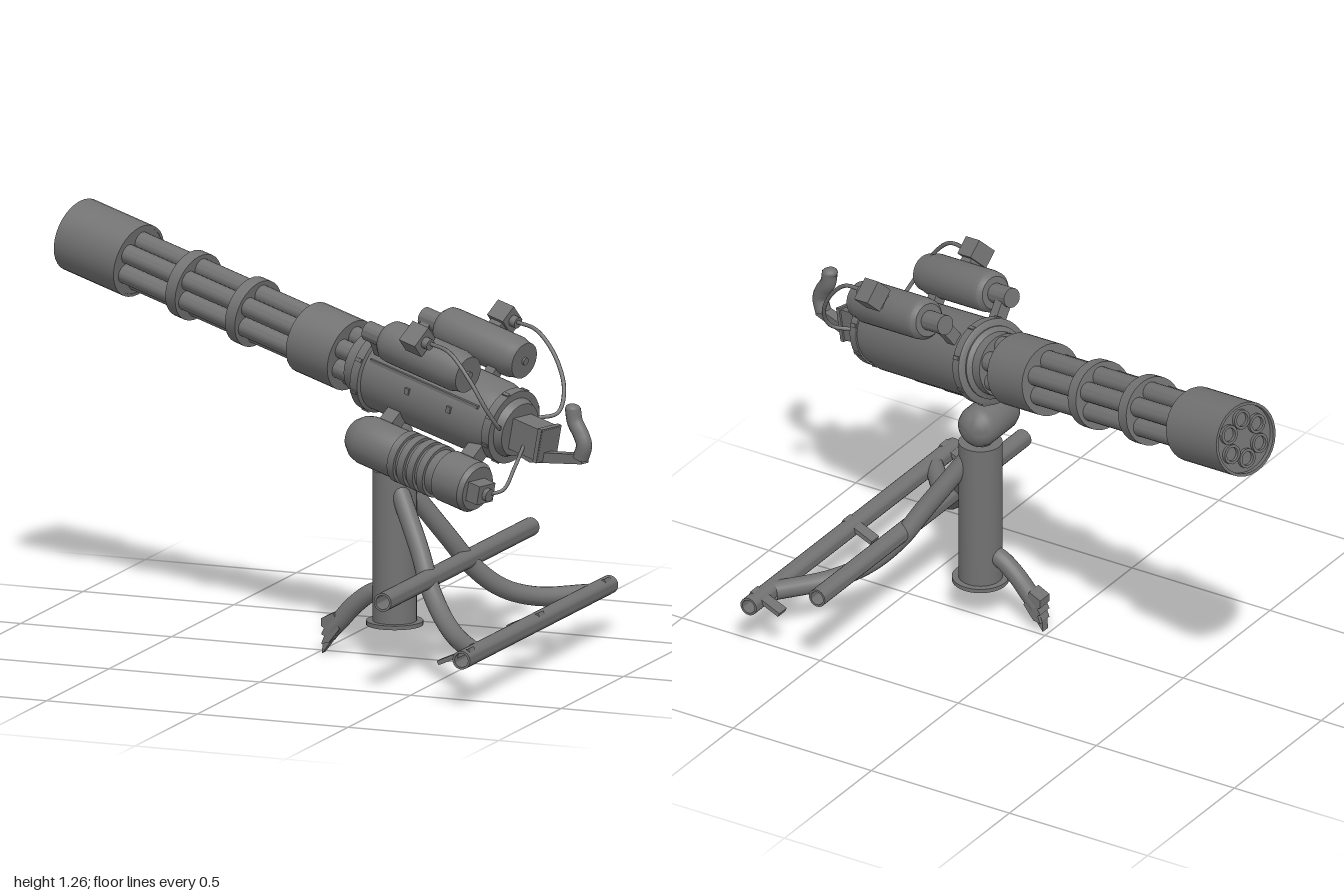
import * as THREE from 'three';
import { toCreasedNormals } from 'three/addons/utils/BufferGeometryUtils.js';

const material = new THREE.MeshStandardMaterial({ color: 0x727272, side: THREE.DoubleSide });

function add(parent, name, geometry, x = 0, y = 0, z = 0) {
  const mesh = new THREE.Mesh(geometry, material);
  mesh.name = name;
  mesh.position.set(x, y, z);
  parent.add(mesh);
  return mesh;
}

// Turned part along +x from [distance, radius] pairs
function turned(points, sides = 32) {
  const g = new THREE.LatheGeometry(points.map(([u, r]) => new THREE.Vector2(r, u)), sides);
  g.rotateZ(-Math.PI / 2);
  return toCreasedNormals(g, 0.6);
}
const solid = (a, b, r, sides) => turned([[a, 0], [a, r], [b, r], [b, 0]], sides);
const pipe = (a, b, r, inner, sides) => turned([[a, inner], [a, r], [b, r], [b, inner], [a, inner]], sides);
const box = (x, y, z) => new THREE.BoxGeometry(x, y, z);

function tube(points, r, segments = 32, sides = 16) {
  const curve = new THREE.CatmullRomCurve3(points.map((p) => new THREE.Vector3(...p)));
  return new THREE.TubeGeometry(curve, segments, r, sides);
}

// Side outline in the x-y plane, given thickness along z
function plate(points, depth) {
  const shape = new THREE.Shape(points.map(([x, y]) => new THREE.Vector2(x, y)));
  const g = new THREE.ExtrudeGeometry(shape, { depth, bevelEnabled: false });
  return g.translate(0, 0, -depth / 2);
}

function buildBarrels(gun) {
  add(gun, 'muzzleShroud', pipe(0, 0.245, 0.117, 0.108));
  add(gun, 'muzzlePlate', solid(0.015, 0.03, 0.109));
  add(gun, 'shroudBackPlate', solid(0.225, 0.243, 0.109));
  for (let i = 0; i < 6; i++) {
    const a = (i / 6) * Math.PI * 2 + Math.PI / 6;
    add(gun, 'barrel', pipe(0.004, 1.25, 0.031, 0.022, 18), 0, Math.sin(a) * 0.064, Math.cos(a) * 0.064);
  }
  add(gun, 'centreShaft', solid(0.02, 1.25, 0.025, 16));
  for (const u of [0.47, 0.715]) add(gun, 'barrelRing', solid(u - 0.02, u + 0.02, 0.108));
  add(gun, 'barrelClamp', solid(0.95, 1.12, 0.114));
  add(gun, 'rotorCollar', turned([[1.175, 0], [1.175, 0.1], [1.21, 0.1], [1.22, 0.115], [1.25, 0.115], [1.25, 0]]));
}

function buildBody(gun) {
  add(gun, 'body', turned([
    [1.225, 0], [1.225, 0.125], [1.232, 0.136], [1.262, 0.136], [1.266, 0.125], [1.71, 0.123],
    [1.755, 0.113], [1.755, 0.118], [1.785, 0.118], [1.785, 0.095], [1.81, 0.085], [1.81, 0],
  ], 48));
  // Bolts round both flanges
  for (let i = 0; i < 8; i++) {
    const a = (i / 8) * Math.PI * 2 + 0.39;
    for (const [u, r] of [[1.247, 0.134], [1.77, 0.116]]) {
      add(gun, 'flangeBolt', box(0.024, 0.012, 0.012), u, Math.sin(a) * r, Math.cos(a) * r).rotation.x = -a;
    }
  }
  // Rail and studs on the left of the housing
  add(gun, 'sideRail', box(0.44, 0.01, 0.012), 1.5, 0.06, 0.108);
  for (const u of [1.45, 1.62]) add(gun, 'housingStud', box(0.016, 0.02, 0.012), u, 0.02, 0.122);
}

function buildMotor(gun, s) {
  const motor = new THREE.Group();
  motor.name = s > 0 ? 'leftMotor' : 'rightMotor';
  motor.position.set(0, 0.158, s * 0.133);
  gun.add(motor);
  add(motor, 'motorCase', turned([
    [1.27, 0], [1.27, 0.031], [1.35, 0.031], [1.35, 0.052], [1.365, 0.064], [1.385, 0.066], [1.64, 0.066],
    [1.66, 0.06], [1.68, 0.058], [1.68, 0],
  ]));
  add(motor, 'motorShaftCap', solid(1.675, 1.688, 0.012, 16));
  for (const u of [1.3, 1.6]) {
    add(motor, 'motorFoot', box(0.035, 0.07, 0.04), u, -0.04, -s * 0.03).rotation.x = s * 0.6;
  }
  // Cable box leaning outward at 45 degrees
  const cableBox = new THREE.Group();
  cableBox.name = 'cableBox';
  cableBox.rotation.x = s * Math.PI / 4;
  motor.add(cableBox);
  add(cableBox, 'cableBoxNeck', box(0.045, 0.05, 0.045), 1.52, 0.065, 0);
  add(cableBox, 'cableBoxCase', box(0.065, 0.06, 0.075), 1.52, 0.105, 0);
  add(cableBox, 'cableSocket', solid(1.55, 1.575, 0.018, 16), 0, 0.105, 0);
  add(gun, 'motorCable', tube([
    [1.57, 0.235, s * 0.205], [1.65, 0.235, s * 0.208], [1.74, 0.18, s * 0.206],
    [1.81, 0.1, s * 0.185], [1.835, 0.04, s * 0.14], [1.8, 0.02, s * 0.09],
  ], 0.0065, 40, 8));
}

function buildDrive(gun) {
  // Ribbed cylinder slung below the left side
  const drive = new THREE.Group();
  drive.name = 'lowerDrive';
  drive.position.set(0, -0.16, 0.174);
  gun.add(drive);
  const ribs = [];
  for (let i = 0; i < 4; i++) {
    const u = 1.52 + i * 0.04;
    ribs.push([u, 0.073], [u, 0.083], [u + 0.026, 0.083], [u + 0.026, 0.073]);
  }
  add(drive, 'driveCase', turned([
    [1.32, 0], [1.32, 0.052], [1.345, 0.07], [1.37, 0.077], [1.51, 0.077], ...ribs,
    [1.7, 0.073], [1.7, 0.081], [1.805, 0.081], [1.82, 0.07], [1.82, 0],
  ]));
  add(drive, 'driveSocket', box(0.05, 0.06, 0.075), 1.84, 0, 0.012);
  add(drive, 'drivePlug', solid(1.86, 1.88, 0.02, 16), 0, 0, 0.012);
  for (const u of [1.4, 1.73]) {
    add(drive, 'driveBracket', box(0.05, 0.1, 0.05), u, 0.06, -0.06).rotation.x = -0.8;
  }
  add(gun, 'driveCable', tube([
    [1.87, -0.16, 0.18], [1.9, -0.14, 0.15], [1.89, -0.08, 0.1], [1.86, -0.02, 0.03],
  ], 0.006, 24, 8));
}

function buildHandle(gun) {
  add(gun, 'rearBox', box(0.13, 0.1, 0.085), 1.865, -0.005, 0);
  add(gun, 'rearBoxLip', box(0.015, 0.11, 0.095), 1.922, -0.005, 0);
  add(gun, 'handleArm', plate([
    [1.84, -0.075], [1.88, -0.08], [2.08, -0.015], [2.075, 0.015], [1.93, -0.03], [1.86, -0.045],
  ], 0.034));
  add(gun, 'grip', tube([
    [2.06, -0.005, 0], [2.065, 0.04, 0], [2.045, 0.07, 0], [2.015, 0.1, 0], [2.0, 0.135, 0],
  ], 0.025, 20, 12));
  const cap = add(gun, 'gripCap', new THREE.SphereGeometry(0.025, 16, 10), 2.0, 0.135, 0);
  cap.scale.y = 0.7;
}

function buildStand(root) {
  const stand = new THREE.Group();
  stand.name = 'stand';
  root.add(stand);
  const cx = 0.253, cz = 0.03;

  // Rounded swivel, neck and hollow post
  const swivel = add(stand, 'swivel', turned([
    [-0.112, 0], [-0.11, 0.025], [-0.1, 0.045], [-0.085, 0.059], [-0.062, 0.066],
    [0.062, 0.066], [0.085, 0.059], [0.1, 0.045], [0.11, 0.025], [0.112, 0],
  ]), 0.222, 0.686, cz);
  swivel.rotation.y = Math.PI / 2;
  add(stand, 'swivelNeck', new THREE.CylinderGeometry(0.037, 0.037, 0.1, 24), cx, 0.62, cz);
  const post = add(stand, 'post', turned([
    [0.11, 0.06], [0.11, 0.088], [0.123, 0.088], [0.123, 0.068], [0.595, 0.068], [0.595, 0],
    [0.585, 0], [0.585, 0.06], [0.11, 0.06],
  ]), cx, 0, cz);
  post.rotation.z = Math.PI / 2;

  // Splayed rear legs
  for (const s of [1, -1]) {
    const path = [[0.28, 0.54, 0.03], [0.33, 0.46, 0.07], [0.385, 0.37, 0.115], [0.44, 0.275, 0.17],
      [0.51, 0.2, 0.235], [0.59, 0.162, 0.32], [0.71, 0.152, 0.46]];
    add(stand, 'rearLeg', tube(path.map(([x, y, z]) => [x, y, cz + s * z]), 0.03, 48, 18));
  }

  // Cross pipes with slanted clips
  const lower = add(stand, 'lowerCrossPipe', pipe(-0.625, 0.563, 0.029, 0.022, 24), 0.72, 0.155, 0);
  const upper = add(stand, 'upperCrossPipe', pipe(-0.563, 0.625, 0.029, 0.022, 24), 0.433, 0.3, 0);
  lower.rotation.y = upper.rotation.y = Math.PI / 2;
  for (const z of [0.582, 0.025, -0.507]) {
    add(stand, 'pipeClip', box(0.115, 0.014, 0.042), 0.685, 0.158, z).rotation.z = 0.42;
  }

  // Front leg with a toothed foot
  add(stand, 'frontLeg', tube([
    [0.23, 0.215, cz], [0.18, 0.205, cz], [0.12, 0.16, cz], [0.07, 0.105, cz], [0.045, 0.08, cz],
  ], 0.029, 28, 18));
  add(stand, 'frontFoot', plate([
    [0.02, 0.115], [0.02, 0.09], [0.03, 0.085], [0.02, 0.065], [0.03, 0.06], [0.02, 0.035],
    [0.045, 0.04], [0.08, 0.085], [0.06, 0.135],
  ], 0.054), 0, 0, cz);
  add(stand, 'footTip', plate([[0.018, 0.002], [0.05, 0.045], [0.03, 0.06], [0.02, 0.04]], 0.03), 0, 0, cz);
}

export function createModel() {
  const root = new THREE.Group();
  root.name = 'mountedRotaryGun';
  buildStand(root);

  // Gun runs along its own +x from muzzle to grip
  const gun = new THREE.Group();
  gun.name = 'gun';
  gun.position.set(-0.958, 1.152, -0.367);
  gun.rotation.set(0, -0.312, -0.202, 'YZX');
  root.add(gun);
  buildBarrels(gun);
  buildBody(gun);
  for (const s of [1, -1]) buildMotor(gun, s);
  buildDrive(gun);
  buildHandle(gun);
  return root;
}
